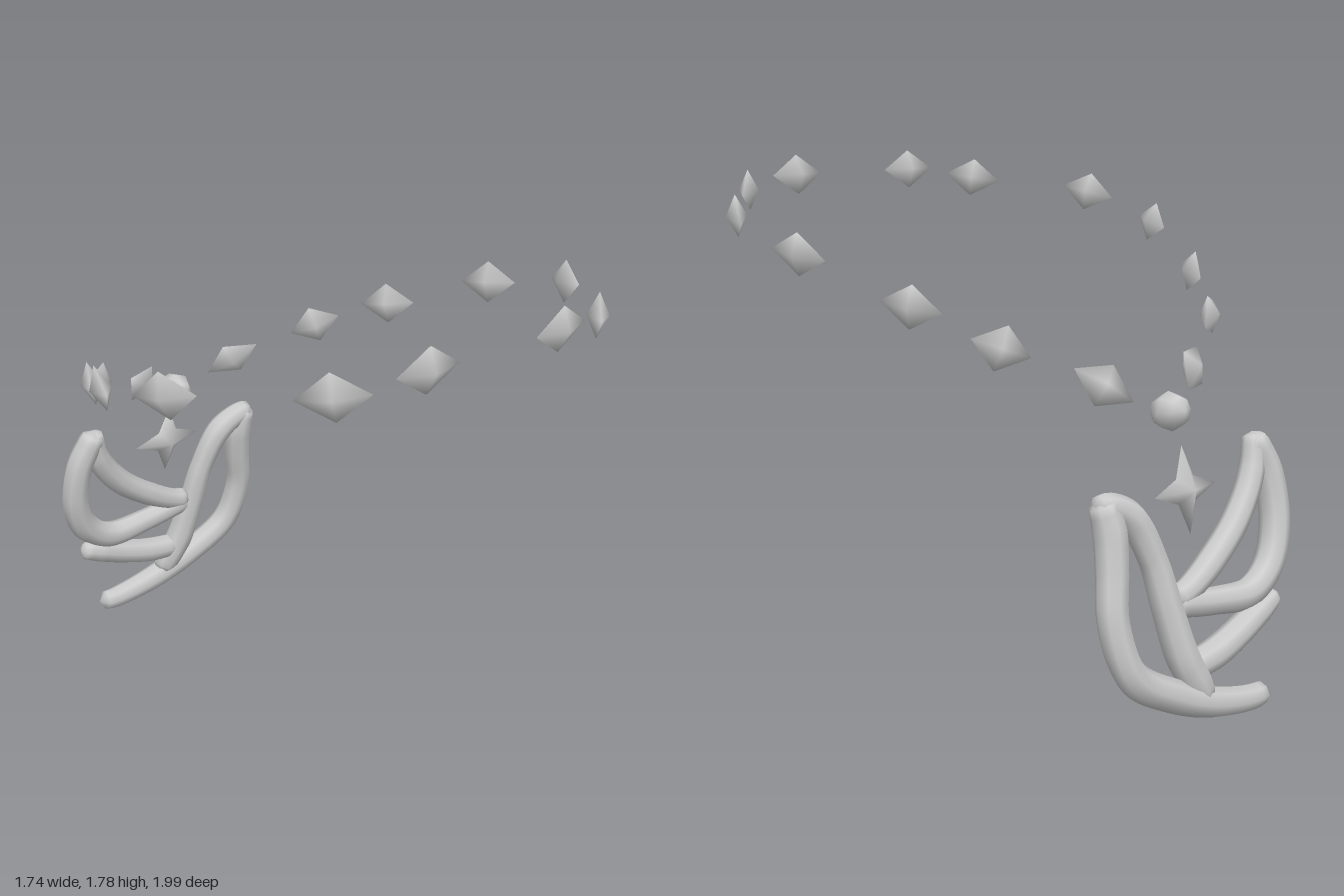
import * as THREE from 'three';
import { mergeVertices } from 'three/addons/utils/BufferGeometryUtils.js';

const V = (x, y, z) => new THREE.Vector3(x, y, z);

// Weld corners so the shading runs smoothly across the facets
function smooth(geo) {
  geo.deleteAttribute('normal');
  geo.deleteAttribute('uv');
  const g = mergeVertices(geo, 1e-5);
  g.computeVertexNormals();
  return g;
}

// The pendant hangs in one plane that leans with height
const planeZ = y => -0.965 + 0.17 * y;

// Tapered strand with rounded ends; points are [x, y, radius]
function strandGeometry(points) {
  const curve = new THREE.CatmullRomCurve3(points.map(([x, y]) => V(x, y, planeZ(y))));
  const segs = 44, sides = 8;
  const geo = new THREE.TubeGeometry(curve, segs, 1, sides, false);
  const pos = geo.attributes.position;
  const length = curve.getLength();
  const v = V(0, 0, 0);
  for (let i = 0; i <= segs; i++) {
    const u = i / segs;
    const k = curve.getUtoTmapping(u) * (points.length - 1);
    const a = Math.min(Math.floor(k), points.length - 2);
    let r = THREE.MathUtils.lerp(points[a][2], points[a + 1][2], k - a);
    const s = Math.min(1, Math.min(u, 1 - u) * length / (r * 0.8));
    r *= Math.sqrt(1 - (1 - s) ** 2);
    const c = curve.getPointAt(u);
    for (let j = 0; j <= sides; j++) {
      const n = i * (sides + 1) + j;
      v.fromBufferAttribute(pos, n).sub(c).multiplyScalar(r);
      v.z *= 0.92;
      v.add(c);
      pos.setXYZ(n, v.x, v.y, v.z);
    }
  }
  return smooth(geo);
}

// Four-pointed star: a ring of long and short points between two apexes
function starGeometry(long, short, depth) {
  const p = [0, 0, depth, 0, 0, -depth], index = [];
  for (let i = 0; i < 8; i++) {
    const a = i * Math.PI / 4, r = i % 2 ? short : long;
    p.push(Math.cos(a) * r, Math.sin(a) * r, 0);
    const b = 2 + i, c = 2 + (i + 1) % 8;
    index.push(0, b, c, 1, c, b);
  }
  const geo = new THREE.BufferGeometry();
  geo.setAttribute('position', new THREE.Float32BufferAttribute(p, 3));
  geo.setIndex(index);
  geo.computeVertexNormals();
  return geo;
}

export function createModel() {
  const group = new THREE.Group();
  const metal = new THREE.MeshStandardMaterial({ color: 0xcccccc });
  metal.name = 'silver grey';
  const add = (name, geo, parent = group) => {
    const m = new THREE.Mesh(geo, metal);
    m.name = name;
    parent.add(m);
    return m;
  };

  // Chain of flat diamond beads: the two long tips and the short direction
  const beads = [
    [V(0.13, 1.075, -0.715), V(0.29, 1.19, -0.607), V(-0.085, 0.12, 0.01)],
    [V(0.41, 1.228, -0.54), V(0.57, 1.295, -0.44), V(-0.056, 0.123, -0.02)],
    [V(0.603, 1.363, -0.344), V(0.708, 1.395, -0.16), V(0.008, 0.14, -0.03)],
    [V(0.79, 1.51, 0.01), V(0.862, 1.54, 0.21), V(0.02, 0.147, -0.034)],
    [V(0.872, 1.6, 0.375), V(0.785, 1.645, 0.575), V(0.01, 0.14, 0)],
    [V(0.615, 1.658, 0.79), V(0.462, 1.69, 0.95), V(0, 0.145, 0)],
    [V(0.382, 1.715, 0.95), V(0.155, 1.715, 0.965), V(0, 0.145, 0.01)],
  ];
  const chain = new THREE.Group();
  chain.name = 'beadChain';
  group.add(chain);
  const diamond = smooth(new THREE.OctahedronGeometry(1, 0));
  for (const side of [1, -1]) {
    beads.forEach(([a, b, up], i) => {
      const flip = V(side, 1, 1);
      const p = a.clone().multiply(flip), q = b.clone().multiply(flip);
      const x = q.clone().sub(p).normalize();
      const y = up.clone().multiply(flip);
      y.addScaledVector(x, -y.dot(x)).normalize();
      const z = x.clone().cross(y);
      const m = add(`${side > 0 ? 'left' : 'right'}Bead${i + 1}`, diamond, chain);
      m.quaternion.setFromRotationMatrix(new THREE.Matrix4().makeBasis(x, y, z));
      m.position.copy(p).add(q).multiplyScalar(0.5);
      m.scale.set(p.distanceTo(q) / 2, 0.075, 0.036);
    });
  }

  // Round bead where the chain meets the pendant
  const ball = add('roundBead', smooth(new THREE.SphereGeometry(0.066, 8, 4)));
  ball.position.set(-0.01, 1.03, -0.745);
  ball.rotation.x = Math.PI / 2 + 0.17;

  // Star
  const star = add('star', starGeometry(0.146, 0.058, 0.045));
  star.position.set(-0.01, 0.783, -0.82);
  star.rotation.x = 0.17;

  // Pendant made of curved strands
  const pendant = new THREE.Group();
  pendant.name = 'wingPendant';
  group.add(pendant);
  const strands = {
    outerSweep: [[-0.295, 0.055, 0.038], [-0.22, 0.05, 0.045], [-0.02, 0.088, 0.053], [0.16, 0.16, 0.056],
      [0.33, 0.27, 0.056], [0.385, 0.45, 0.054], [0.367, 0.61, 0.056], [0.36, 0.73, 0.058], [0.385, 0.84, 0.045]],
    innerSweep: [[0.415, 0.805, 0.042], [0.355, 0.8, 0.047], [0.26, 0.745, 0.053], [0.185, 0.6, 0.05],
      [0.142, 0.43, 0.055], [0.095, 0.265, 0.06], [0.05, 0.18, 0.058], [0.01, 0.1, 0.045]],
    lowerFeather: [[-0.39, 0.36, 0.036], [-0.3, 0.328, 0.05], [-0.2, 0.287, 0.052],
      [-0.06, 0.243, 0.054], [0.075, 0.225, 0.05]],
    upperFeather: [[-0.345, 0.92, 0.04], [-0.36, 0.88, 0.05], [-0.41, 0.775, 0.054], [-0.422, 0.6, 0.056],
      [-0.37, 0.47, 0.056], [-0.26, 0.398, 0.054], [-0.085, 0.408, 0.047], [0.12, 0.445, 0.045]],
    topFeather: [[-0.35, 0.92, 0.035], [-0.325, 0.79, 0.048], [-0.225, 0.65, 0.05],
      [-0.075, 0.535, 0.05], [0.05, 0.47, 0.045], [0.12, 0.455, 0.045]],
  };
  for (const [name, pts] of Object.entries(strands)) add(name, strandGeometry(pts), pendant);

  return group;
}
